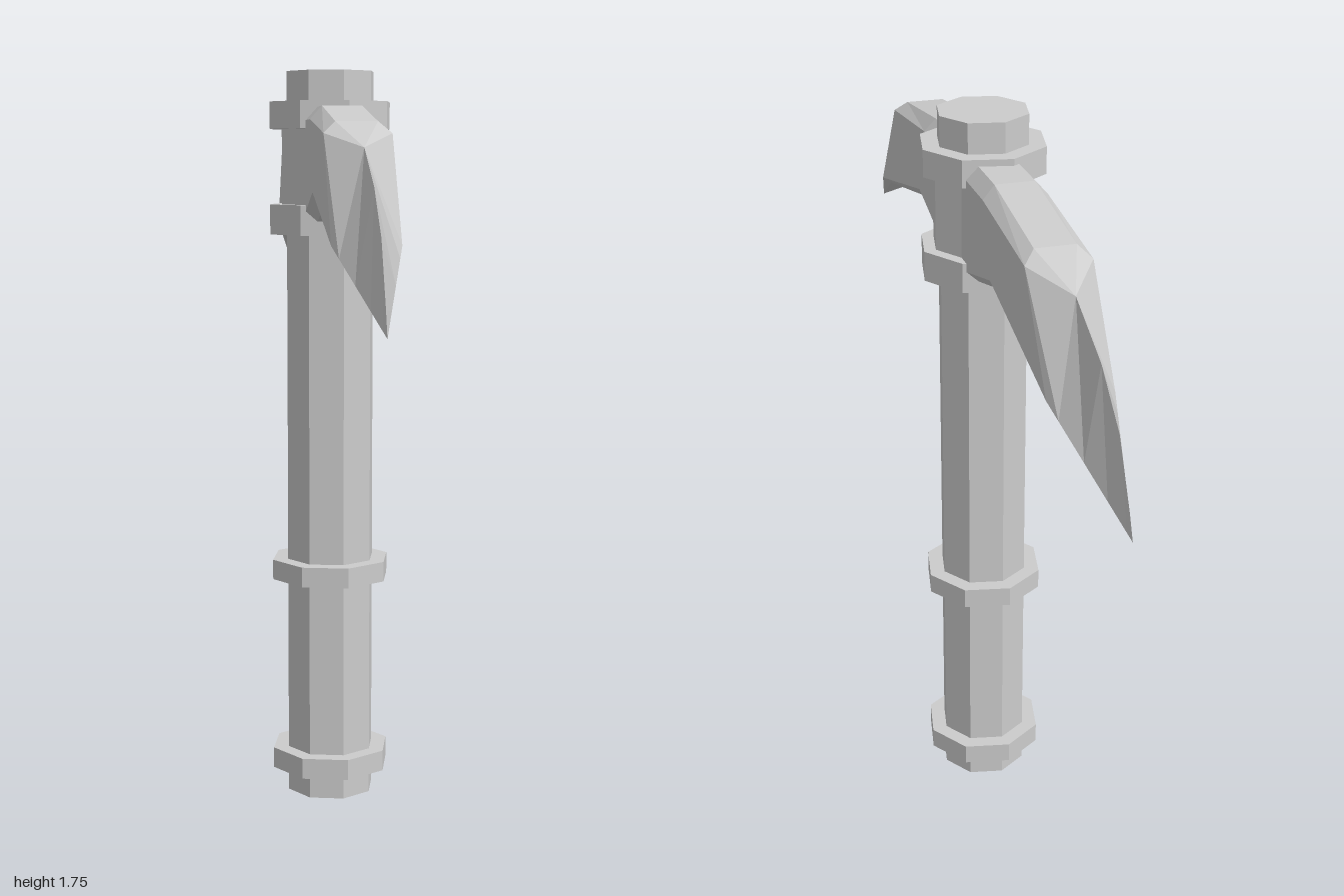
import * as THREE from 'three';

const material = new THREE.MeshStandardMaterial({ color: 0xcccccc, flatShading: true });
const SIDES = 8;
const TURN = Math.PI / 16;

// Upright octagonal prism between two heights
function prism(name, radius, y0, y1) {
  const geo = new THREE.CylinderGeometry(radius, radius, y1 - y0, SIDES, 1, false, TURN);
  const mesh = new THREE.Mesh(geo, material);
  mesh.name = name;
  mesh.position.set(-0.002, (y0 + y1) / 2, 0.01);
  return mesh;
}

// Each station: four [halfWidth, y, z] points from top to bottom of the right half
function bladeStations() {
  const c = 0.045, w = 0.072;
  const stations = [
    [[c, 1.66, 0], [w, 1.63, 0], [w, 1.385, 0], [c, 1.36, 0]],
    [[c, 1.66, 0.24], [w, 1.63, 0.245], [w, 1.47, 0.3], [c, 1.445, 0.3]],
    [[c, 1.62, 0.515], [w, 1.595, 0.54], [w, 1.37, 0.69], [c, 1.345, 0.715]],
  ];
  // Beyond the chamfer the top narrows to a ridge while the base runs straight to the tip
  const tip = [0, 1.213, 1];
  const toTip = (p, t) => p.map((v, k) => v + (tip[k] - v) * t);
  const ridge = [[1.565, 0.645, 0.15], [1.49, 0.8, 0.45], [1.395, 0.91, 0.72], [1.265, 0.978, 0.93]];
  const [, , low, base] = stations[2];
  for (const [y, z, t] of ridge) {
    stations.push([[0, y, z], [0, y, z], toTip(low, t), toTip(base, t)]);
  }
  stations.push([tip, tip, tip, tip]);
  return stations;
}

// Skin the mirrored cross-sections
function bladeGeometry() {
  const loops = bladeStations().map((half) => [
    ...half,
    ...half.slice().reverse().map(([x, y, z]) => [-x, y, z]),
  ]);
  const positions = [];
  const addTriangle = (a, b, c) => {
    const [p, q, r] = [a, b, c].map((v) => new THREE.Vector3(...v));
    const area = q.clone().sub(p).cross(r.clone().sub(p)).length();
    if (area > 1e-8) positions.push(...a, ...b, ...c);
  };
  for (let s = 0; s < loops.length - 1; s++) {
    for (let i = 0; i < 8; i++) {
      const j = (i + 1) % 8;
      const near = loops[s], far = loops[s + 1];
      addTriangle(near[i], far[i], near[j]);
      addTriangle(near[j], far[i], far[j]);
    }
  }
  const geo = new THREE.BufferGeometry();
  geo.setAttribute('position', new THREE.Float32BufferAttribute(positions, 3));
  geo.computeVertexNormals();
  return geo;
}

export function createModel() {
  const model = new THREE.Group();
  model.name = 'pickaxe';

  // Handle with grip rings, and the socket holding the head
  model.add(
    prism('handle', 0.107, 0, 1.745),
    prism('bottomGripRing', 0.145, 0.06, 0.11),
    prism('middleGripRing', 0.145, 0.535, 0.583),
    prism('headSocket', 0.119, 1.4, 1.64),
    prism('lowerHeadRing', 0.148, 1.367, 1.437),
    prism('upperHeadRing', 0.148, 1.612, 1.675),
  );

  // Two matching curved blades
  const geo = bladeGeometry();
  ['frontBlade', 'backBlade'].forEach((name, i) => {
    const blade = new THREE.Mesh(geo, material);
    blade.name = name;
    blade.rotation.y = i * Math.PI;
    model.add(blade);
  });

  return model;
}
